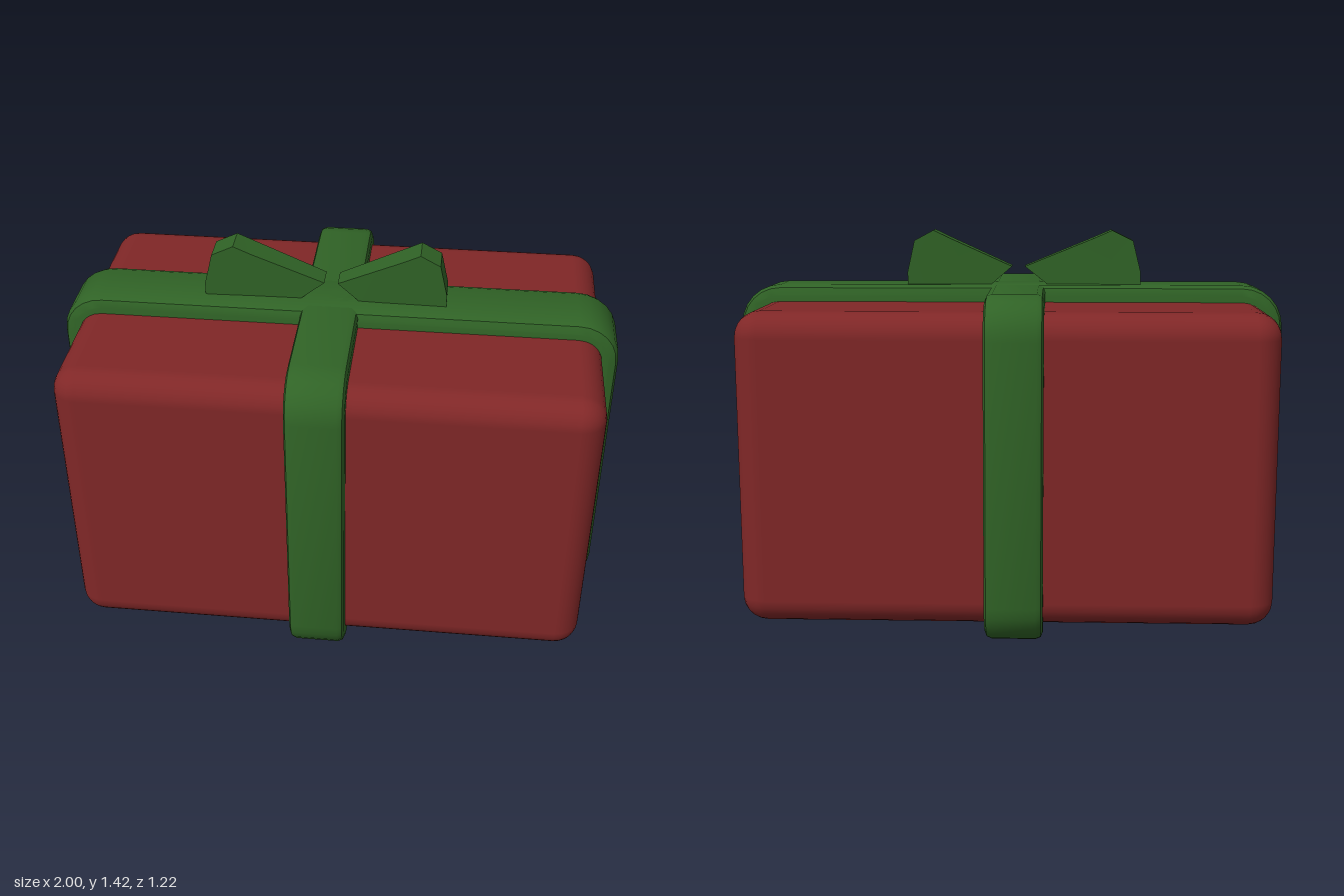
import * as THREE from 'three';
import { toCreasedNormals } from 'three/addons/utils/BufferGeometryUtils.js';
import { RoundedBoxGeometry } from 'three/addons/geometries/RoundedBoxGeometry.js';

const HEIGHT = 1.225;

// Rounded rectangle standing on y = 0, centred on x = 0
function bandOutline(width, height, r) {
  const w = width / 2;
  const shape = new THREE.Shape();
  shape.absarc(w - r, r, r, -Math.PI / 2, 0);
  shape.absarc(w - r, height - r, r, 0, Math.PI / 2);
  shape.absarc(-w + r, height - r, r, Math.PI / 2, Math.PI);
  shape.absarc(-w + r, r, r, Math.PI, Math.PI * 1.5);
  shape.closePath();
  return shape;
}

// Slab of the outline with softened edges, centred on z = 0
function slab(shape, depth, bevel, segments) {
  const geometry = new THREE.ExtrudeGeometry(shape, {
    depth: depth - 2 * bevel,
    curveSegments: 3,
    bevelEnabled: bevel > 0,
    bevelSize: bevel,
    bevelOffset: -bevel,
    bevelThickness: bevel,
    bevelSegments: segments,
  });
  geometry.translate(0, 0, -depth / 2 + bevel);
  return toCreasedNormals(geometry, 0.75);
}

export function createModel() {
  const model = new THREE.Group();
  model.name = 'giftBox';

  const red = new THREE.MeshStandardMaterial({ color: 0x802727 });
  red.name = 'wrappingRed';
  const green = new THREE.MeshStandardMaterial({ color: 0x306326 });
  green.name = 'ribbonGreen';

  const add = (name, geometry, material) => {
    const mesh = new THREE.Mesh(geometry, material);
    mesh.name = name;
    model.add(mesh);
    return mesh;
  };

  // Wrapped box
  add('box', new RoundedBoxGeometry(1.88, 1.105, 1.1, 3, 0.09), red).position.y = 0.6125;

  // Ribbon running lengthwise and ribbon running front to back
  add('longRibbon', slab(bandOutline(2, HEIGHT, 0.15), 0.25, 0.035, 2), green);
  const cross = add('crossRibbon', slab(bandOutline(1.22, HEIGHT, 0.15), 0.205, 0.025, 2), green);
  cross.rotation.y = Math.PI / 2;
  cross.position.x = -0.0275;

  // Bow loops: pinched at the middle, sunk a little into the ribbon
  const loop = [
    [0, 1.29], [0.23, 1.395], [0.288, 1.423], [0.358, 1.385],
    [0.384, 1.27], [0.384, 1.18], [0.125, 1.18],
  ];
  const bowLoop = (name, side, start, stretch) => {
    const points = loop.map(([x, y]) => new THREE.Vector2(side * x * stretch + start, y));
    const geometry = new THREE.ExtrudeGeometry(new THREE.Shape(points), {
      depth: 0.1, bevelEnabled: false,
    });
    geometry.translate(0, 0, -0.05);
    // Narrow the loop towards the knot
    const pos = geometry.attributes.position;
    for (let i = 0; i < pos.count; i++) {
      const t = Math.min(1, Math.abs(pos.getX(i) - start) / 0.25);
      pos.setZ(i, pos.getZ(i) * (0.8 + 0.2 * t) - 0.002);
    }
    add(name, toCreasedNormals(geometry, 0.6), green);
  };
  bowLoop('leftBowLoop', 1, -0.005, 1.01);
  bowLoop('rightBowLoop', -1, -0.053, 1.115);

  return model;
}
